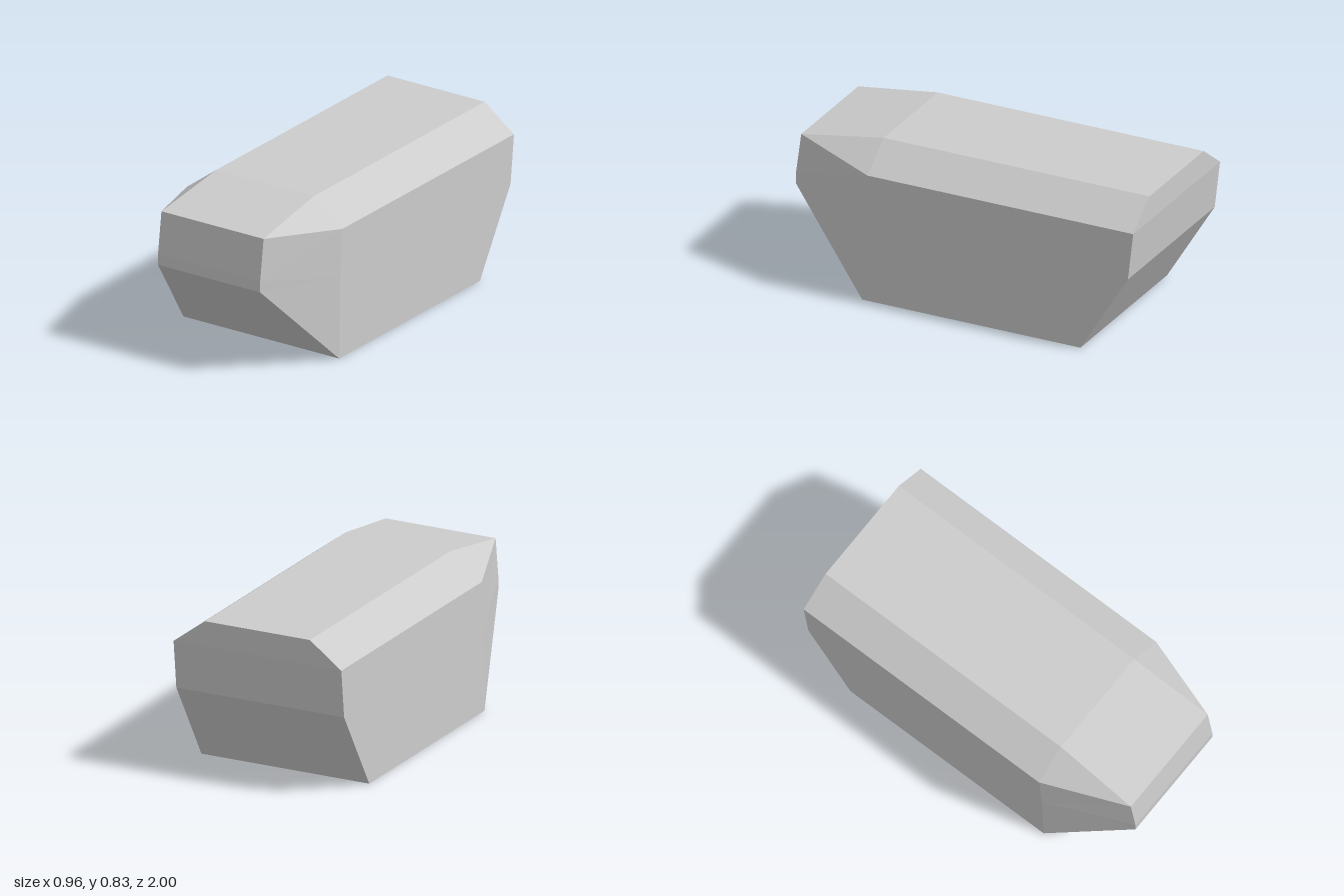
import * as THREE from 'three';

// Each level, from bottom to top, lists its +x half as [x, y, z]: back, side, nose
const LEVELS = [
  [[0.48, 0, -0.70], [0.48, 0, 0.54], [0.48, 0, 0.54]],
  [[0.48, 0.44, -0.97], [0.48, 0.44, 0.53], [0.315, 0.48, 1.0]],
  [[0.48, 0.44, -0.97], [0.48, 0.44, 0.53], [0.315, 0.54, 1.0]],
  [[0.48, 0.70, -1.0], [0.48, 0.70, 0.51], [0.315, 0.763, 0.97]],
  [[0.30, 0.835, -1.0], [0.30, 0.835, 0.51], [0.315, 0.763, 0.97]],
];

// Mirror a half section into a closed ring of six points
function ring(half) {
  const mirrored = half.map(([x, y, z]) => [-x, y, z]).reverse();
  return [...half, ...mirrored].map((p) => new THREE.Vector3(...p));
}

function hullGeometry() {
  const rings = LEVELS.map(ring);
  const points = [];
  const triangle = (a, b, c) => {
    if (a.equals(b) || b.equals(c) || a.equals(c)) return;
    points.push(a, b, c);
  };
  const quad = (a, b, c, d) => {
    triangle(a, b, d);
    triangle(d, b, c);
  };

  // Walls between neighbouring levels
  for (let i = 0; i < rings.length - 1; i++) {
    const low = rings[i], high = rings[i + 1];
    for (let j = 0; j < 6; j++) {
      const k = (j + 1) % 6;
      quad(low[j], high[j], high[k], low[k]);
    }
  }

  // Flat underside, roof and sloping nose top
  const base = rings[0], roof = rings[rings.length - 1];
  quad(base[0], base[1], base[4], base[5]);
  quad(roof[0], roof[5], roof[4], roof[1]);
  quad(roof[1], roof[4], roof[3], roof[2]);

  const geometry = new THREE.BufferGeometry().setFromPoints(points);
  geometry.computeVertexNormals();
  return geometry;
}

export function createModel() {
  const grey = new THREE.MeshStandardMaterial({ color: 0xcccccc });
  grey.name = 'light grey';

  const body = new THREE.Mesh(hullGeometry(), grey);
  body.name = 'body';

  const model = new THREE.Group();
  model.name = 'facetedHull';
  model.add(body);
  return model;
}
